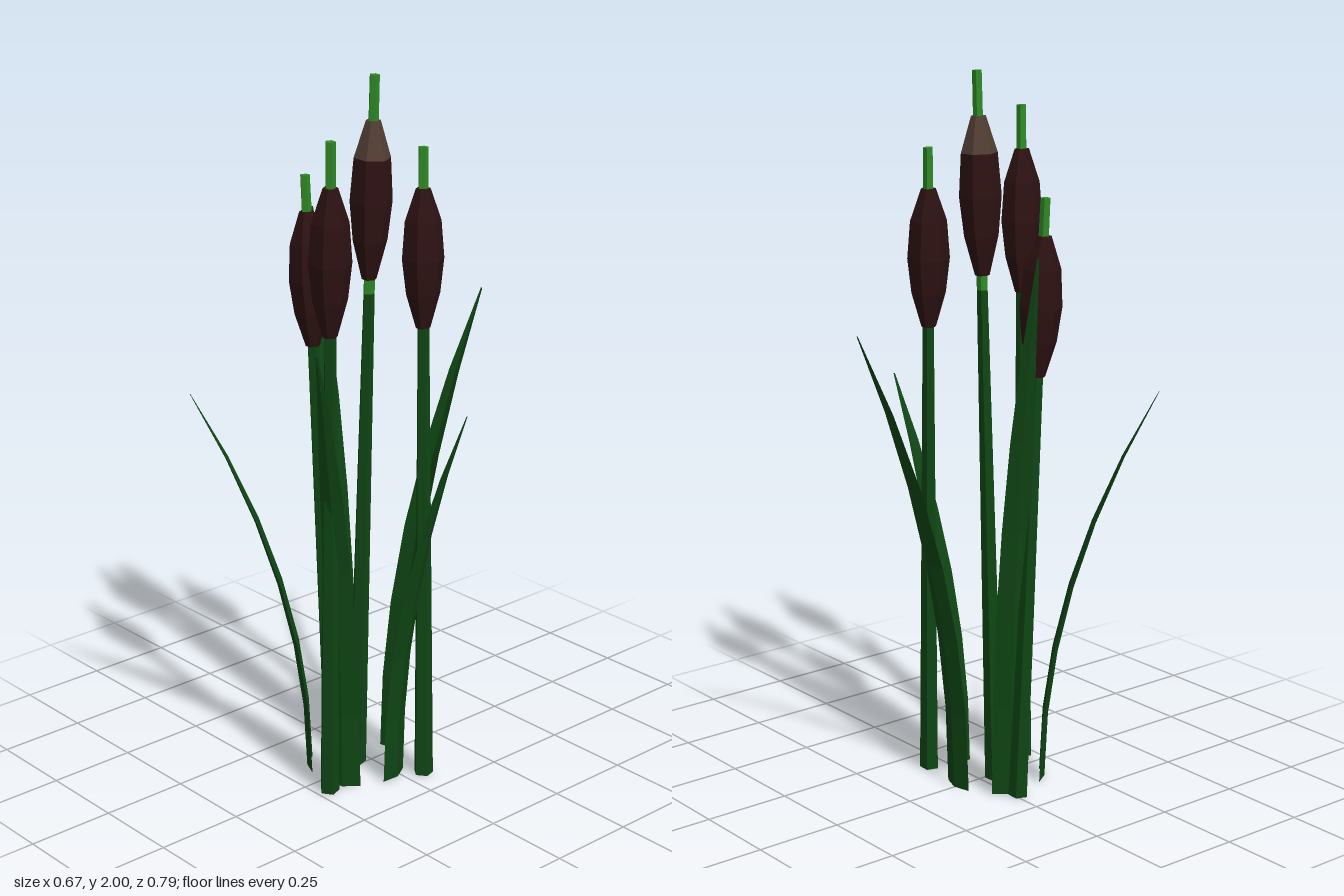
import * as THREE from 'three';

const mat = (name, color, extra = {}) => {
  const m = new THREE.MeshStandardMaterial({ color, flatShading: true, ...extra });
  m.name = name;
  return m;
};

export function createModel() {
  const model = new THREE.Group();
  model.name = 'reeds';
  const stemGreen = mat('stemGreen', 0x0f4614);
  const leafGreen = mat('leafGreen', 0x0f4614, { side: THREE.DoubleSide });
  const spikeGreen = mat('spikeGreen', 0x2f8a26);
  const headBrown = mat('headBrown', 0x2e1212);
  const tipBrown = mat('tipBrown', 0x523e34);

  // Seed head profile: [fraction of length, radius]
  const profile = [[0, 0], [0, 0.02], [0.25, 0.047], [0.5, 0.058], [0.77, 0.05], [1, 0.02], [1, 0]];

  // One leaning reed: stem, seed head and the spike above it
  function addReed(base, top, headLow, headHigh, spikeLow, paleTip) {
    const reed = new THREE.Group();
    reed.name = 'reed';
    const at = (y) => base.clone().lerp(top, y / top.y);
    const add = (name, geo, material, y) => {
      const mesh = new THREE.Mesh(geo, material);
      mesh.name = name;
      mesh.position.copy(at(y));
      mesh.quaternion.setFromUnitVectors(new THREE.Vector3(0, 1, 0), top.clone().sub(base).normalize());
      reed.add(mesh);
    };
    const rod = (name, r0, r1, y0, y1, material) =>
      add(name, new THREE.CylinderGeometry(r1, r0, y1 - y0, 5), material, (y0 + y1) / 2);
    const lathe = (name, rows, material) => {
      const pts = rows.map(([t, r]) => new THREE.Vector2(r, t * (headHigh - headLow)));
      add(name, new THREE.LatheGeometry(pts, 6, Math.PI / 2), material, headLow);
    };
    rod('stem', 0.028, 0.016, 0, spikeLow, stemGreen);
    rod('spike', 0.016, 0.014, spikeLow, top.y, spikeGreen);
    if (paleTip) {
      lathe('seedHead', profile.slice(0, 5), headBrown);
      lathe('seedHeadTip', profile.slice(4), tipBrown);
    } else {
      lathe('seedHead', profile, headBrown);
    }
    model.add(reed);
  }
  const V = (x, y, z) => new THREE.Vector3(x, y, z);
  addReed(V(-0.02, 0, 0.04), V(0.037, 2, 0.022), 1.45, 1.88, 1.41, true);
  addReed(V(-0.157, 0, 0.012), V(-0.224, 1.69, 0.04), 1.21, 1.59, 1.3, false);
  addReed(V(0.06, 0, 0.212), V(0.142, 1.88, 0.265), 1.36, 1.76, 1.45, false);
  addReed(V(0.16, 0, -0.055), V(0.09, 1.8, -0.102), 1.31, 1.69, 1.4, false);

  // Folded blade from two base corners, bending outward to its tip
  function addLeaf(a, b, tip) {
    const mid = a.clone().add(b).multiplyScalar(0.5);
    const half = b.clone().sub(mid);
    const out = V(tip.x - mid.x, 0, tip.z - mid.z);
    const fold = out.clone().normalize().multiplyScalar(0.015);
    const pos = [], index = [], rows = 6;
    for (let i = 0; i <= rows; i++) {
      const t = i / rows;
      const w = 0.06 + 0.94 * (1 - Math.pow(t, 2.5));
      const c = mid.clone().addScaledVector(out, t * t);
      c.y = tip.y * t;
      for (const s of [-1, 0, 1]) {
        const p = c.clone().addScaledVector(half, s * w);
        if (s === 0) p.addScaledVector(fold, w);
        pos.push(p.x, p.y, p.z);
      }
      if (i < rows) {
        for (const k of [i * 3, i * 3 + 1]) index.push(k, k + 1, k + 4, k, k + 4, k + 3);
      }
    }
    const geo = new THREE.BufferGeometry();
    geo.setAttribute('position', new THREE.Float32BufferAttribute(pos, 3));
    geo.setIndex(index);
    geo.computeVertexNormals();
    const leaf = new THREE.Mesh(geo, leafGreen);
    leaf.name = 'leaf';
    model.add(leaf);
  }
  addLeaf(V(-0.05, 0, -0.08), V(0.05, 0, -0.074), V(0.02, 1.34, -0.395));
  addLeaf(V(-0.107, 0, -0.042), V(-0.144, 0, 0.05), V(-0.335, 1.56, -0.08));
  addLeaf(V(0.102, 0, -0.03), V(0.126, 0, 0.066), V(0.335, 1.13, -0.038));
  addLeaf(V(-0.126, 0, 0.115), V(-0.05, 0, 0.18), V(-0.292, 1.13, 0.395));
  addLeaf(V(0.019, 0, 0.184), V(0.1, 0, 0.131), V(0.18, 1.34, 0.348));

  return model;
}
